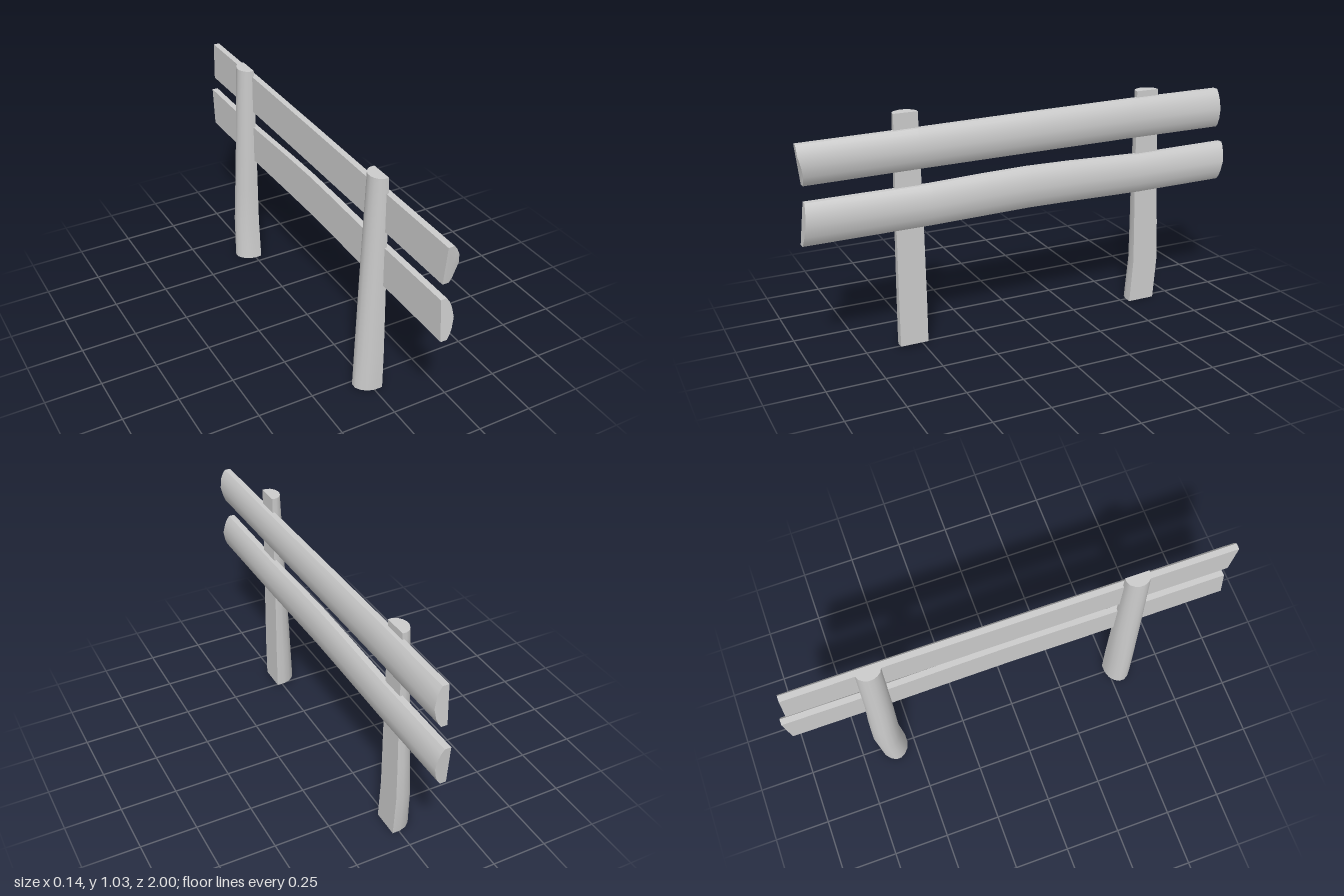
import * as THREE from 'three';
import { toCreasedNormals } from 'three/addons/utils/BufferGeometryUtils.js';

const material = new THREE.MeshStandardMaterial({ color: 0xcccccc });

// Skin a list of equal-length rings of [x, y, z] points and cap both ends.
function loft(name, rings) {
  const n = rings[0].length;
  const points = rings.flat();
  const index = [];
  for (let r = 0; r < rings.length - 1; r++) {
    for (let i = 0; i < n; i++) {
      const j = (i + 1) % n;
      const a = r * n + i, b = r * n + j;
      index.push(a, b, b + n, a, b + n, a + n);
    }
  }
  for (const last of [false, true]) {
    const ring = last ? rings[rings.length - 1] : rings[0];
    const start = last ? (rings.length - 1) * n : 0;
    const centre = points.length;
    points.push([0, 1, 2].map(k => ring.reduce((sum, p) => sum + p[k], 0) / n));
    for (let i = 0; i < n; i++) {
      const a = start + i, b = start + (i + 1) % n;
      if (last) index.push(centre, a, b);
      else index.push(centre, b, a);
    }
  }
  const geometry = new THREE.BufferGeometry();
  geometry.setAttribute('position', new THREE.Float32BufferAttribute(points.flat(), 3));
  geometry.setIndex(index);
  const mesh = new THREE.Mesh(toCreasedNormals(geometry, 0.7), material);
  mesh.name = name;
  return mesh;
}

// Half-log post section: [depth behind the flat face, half width], both 0..1.
const POST = [[0, 1], [0, -1], [0.35, -1], [0.65, -0.85], [0.87, -0.55], [1, -0.2],
  [1, 0.2], [0.87, 0.55], [0.65, 0.85], [0.35, 1]];

// Levels: [y, back x, front x, low z, high z]
function post(name, levels) {
  return loft(name, levels.map(([y, back, front, z0, z1]) =>
    POST.map(([d, w]) => [front + (back - front) * d, y, (z0 + z1) / 2 + w * (z1 - z0) / 2])));
}

// Half-round rail section: [x, height 0..1], flat at the back.
const RAIL = [[0.013, 1], [0.04, 1], [0.052, 0.9], [0.062, 0.76], [0.071, 0.5],
  [0.062, 0.24], [0.052, 0.1], [0.04, 0], [0.013, 0]];

// Stations: [z as a function of section height, bottom y, top y]
function rail(name, stations) {
  return loft(name, stations.map(([z, y0, y1]) =>
    RAIL.map(([x, t]) => [x, y0 + (y1 - y0) * t, z(t)])));
}

export function createModel() {
  const group = new THREE.Group();
  group.name = 'fence';

  // Tapered posts, rounded at the back
  group.add(post('frontPost', [
    [0.012, -0.073, 0.03, 0.48, 0.605],
    [0.2, -0.066, 0.03, 0.48, 0.605],
    [0.55, -0.052, 0.026, 0.482, 0.602],
    [1.035, -0.033, 0.022, 0.49, 0.595],
  ]));
  group.add(post('backPost', [
    [0, -0.073, 0.03, -0.66, -0.533],
    [0.2, -0.066, 0.03, -0.675, -0.548],
    [0.38, -0.058, 0.028, -0.669, -0.546],
    [0.55, -0.052, 0.026, -0.66, -0.543],
    [1.01, -0.033, 0.022, -0.648, -0.541],
  ]));

  // Rails with roughly sawn ends
  group.add(rail('upperRail', [
    [t => (t > 0.55 ? 1 : t > 0.3 ? 0.99 : 0.982), 0.793, 0.962],
    [() => 0.5, 0.798, 0.968],
    [() => 0, 0.802, 0.976],
    [() => -0.5, 0.805, 0.982],
    [t => -0.965 + 0.008 * t, 0.805, 0.983],
  ]));
  group.add(rail('lowerRail', [
    [t => 1 - 0.02 * t, 0.543, 0.722],
    [() => 0.45, 0.546, 0.724],
    [() => 0.2, 0.551, 0.733],
    [() => 0, 0.555, 0.737],
    [() => -0.2, 0.553, 0.734],
    [() => -0.55, 0.547, 0.723],
    [t => -0.985 - 0.015 * t, 0.55, 0.727],
  ]));
  return group;
}
